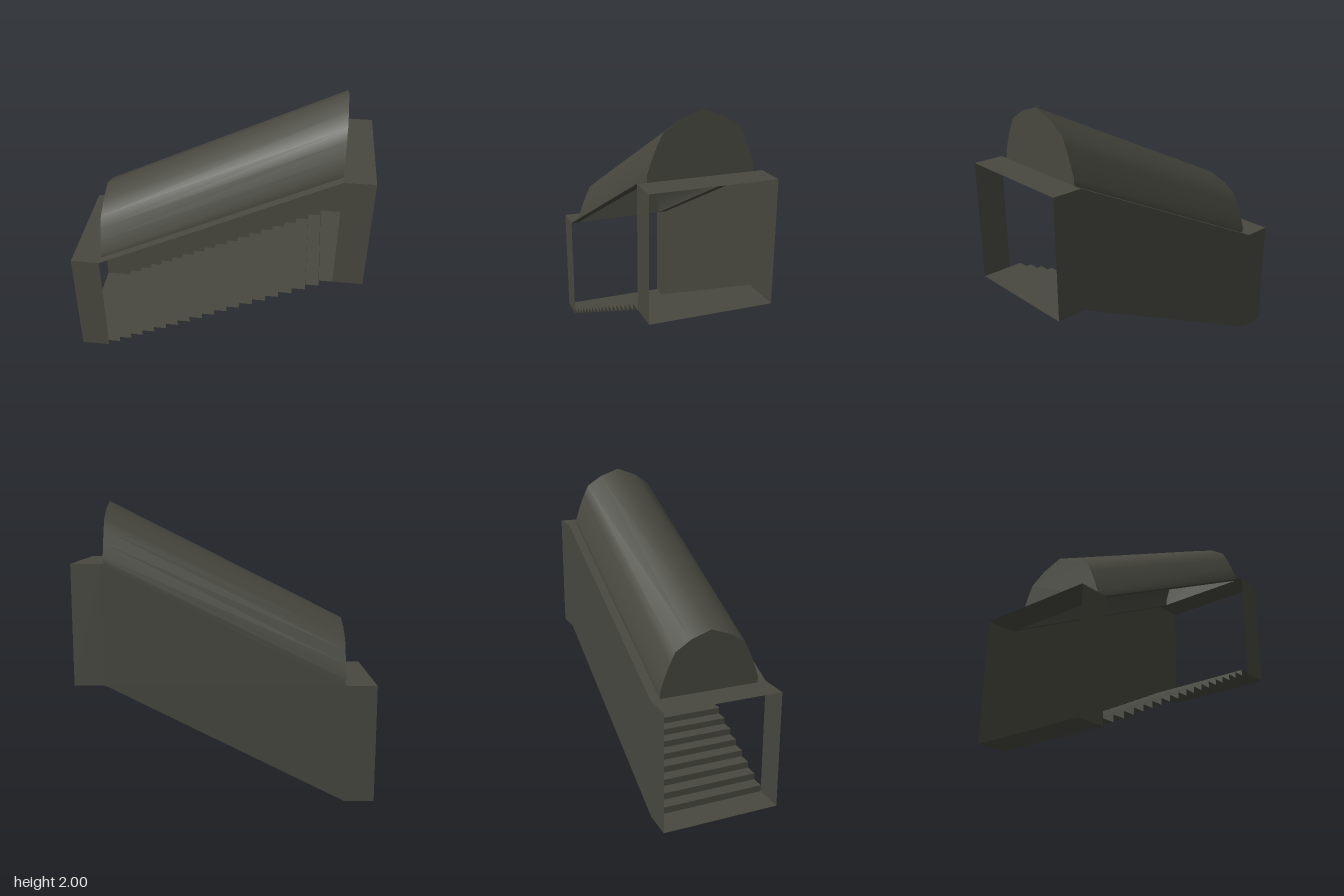
import * as THREE from 'three';

const concrete = new THREE.MeshStandardMaterial({ color: 0x484840, side: THREE.DoubleSide });
concrete.name = 'dark concrete';

const RUN = 1.6, RISE = 0.8, HALF_W = 0.4, WALL_H = 0.8, STEPS = 18;

// Sweeps an open line of points along one offset vector
function sheet(name, points, offset, smooth = false) {
  const pos = [], index = [];
  points.forEach(([x, y, z], i) => {
    pos.push(x, y, z, x + offset[0], y + offset[1], z + offset[2]);
    if (i > 0) {
      const a = 2 * i - 2, b = 2 * i;
      index.push(a, b, a + 1, b, b + 1, a + 1);
    }
  });
  let geo = new THREE.BufferGeometry();
  geo.setAttribute('position', new THREE.Float32BufferAttribute(pos, 3));
  geo.setIndex(index);
  if (!smooth) geo = geo.toNonIndexed();
  geo.computeVertexNormals();
  const mesh = new THREE.Mesh(geo, concrete);
  mesh.name = name;
  return mesh;
}

export function createModel() {
  const group = new THREE.Group();
  group.name = 'coveredStairway';
  const slope = [RUN, RISE, 0];

  // Landings: short square tubes, open at both ends
  for (const [name, x, y] of [['lowerLanding', -1, 0], ['upperLanding', 0.8, RISE]]) {
    const loop = [[1, -1], [1, 1], [0, 1], [0, -1], [1, -1]]
      .map(([h, s]) => [x, y + h * WALL_H, s * HALF_W]);
    group.add(sheet(name, loop, [0.2, 0, 0]));
  }

  // Sloping back wall; the front side is open
  group.add(sheet('backWall', [[-0.8, 0, -HALF_W], [-0.8, WALL_H, -HALF_W]], slope));

  // Stairs: riser then tread, repeated
  const steps = [[-0.8, 0, HALF_W]];
  for (let i = 0; i < STEPS; i++) {
    const y = (i + 1) * RISE / STEPS;
    steps.push([-0.8 + i * RUN / STEPS, y, HALF_W], [-0.8 + (i + 1) * RUN / STEPS, y, HALF_W]);
  }
  group.add(sheet('stairs', steps, [0, 0, -2 * HALF_W]));

  // Vaulted roof, half profile mirrored about the middle
  const half = [[0.34, 0], [0.34, 0.04], [0.31, 0.13], [0.275, 0.215], [0.24, 0.285], [0.137, 0.352]];
  const arch = [
    ...half.map(([z, y]) => [-z, y]), [0, 0.4], ...half.slice().reverse(),
  ];
  group.add(sheet('vault', arch.map(([z, y]) => [-0.8, WALL_H + y, z]), slope, true));

  // Flat ceiling edges beside the vault
  for (const [name, z0, z1] of [['backCeilingEdge', -HALF_W, -0.34], ['frontCeilingEdge', 0.34, HALF_W]]) {
    group.add(sheet(name, [[-0.8, WALL_H, z0], [-0.8, WALL_H, z1]], slope));
  }

  // Upright arched ends of the vault
  const capGeo = new THREE.ShapeGeometry(new THREE.Shape(arch.map(([z, y]) => new THREE.Vector2(z, y))));
  for (const [name, side, y] of [['lowerVaultEnd', -1, WALL_H], ['upperVaultEnd', 1, WALL_H + RISE]]) {
    const cap = new THREE.Mesh(capGeo, concrete);
    cap.name = name;
    cap.rotation.y = side * Math.PI / 2;
    cap.position.set(side * 0.8, y, 0);
    group.add(cap);
  }
  return group;
}
